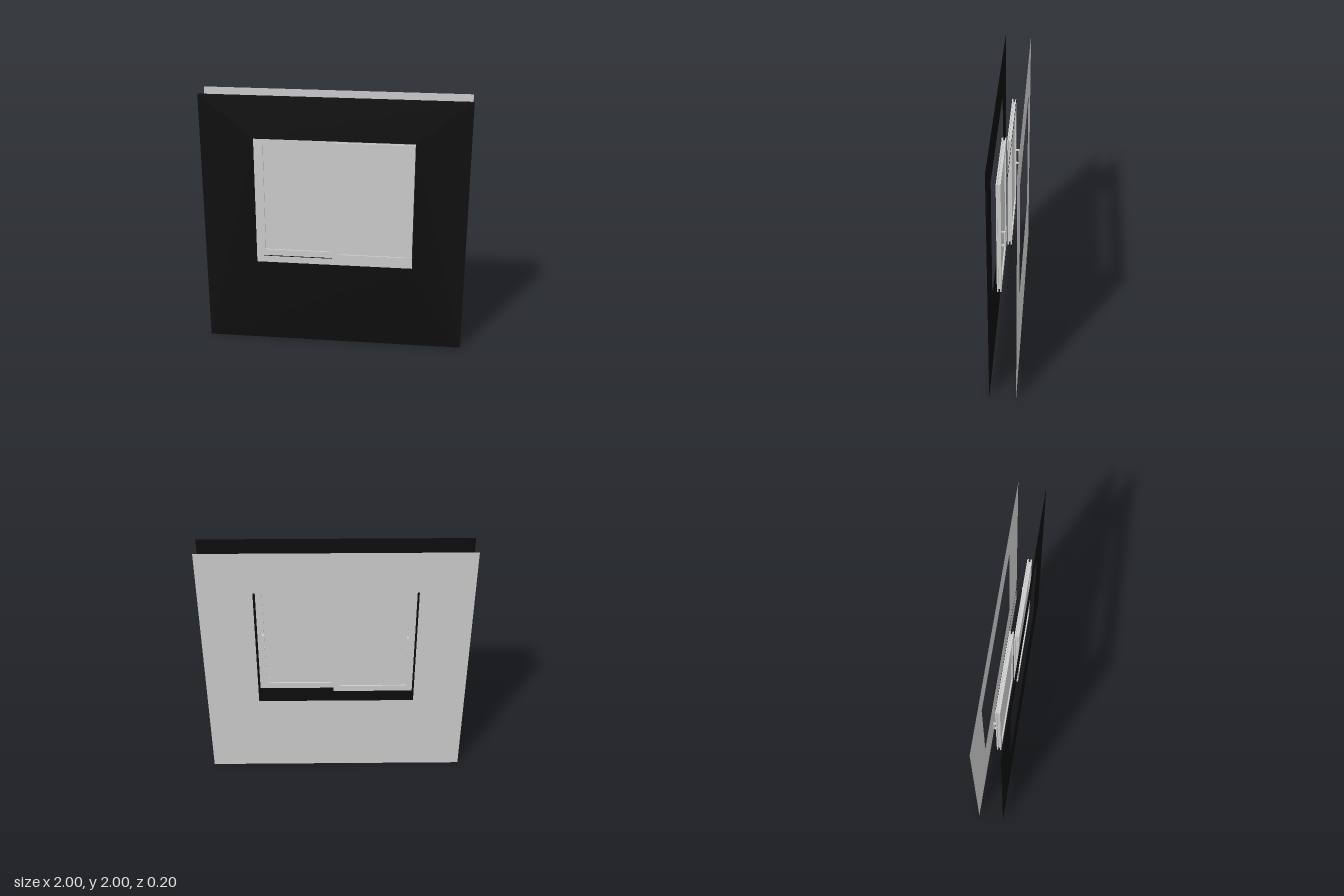
import * as THREE from 'three';

const grey = new THREE.MeshStandardMaterial({ color: 0xcccccc });
grey.name = 'light grey';
const greySheet = new THREE.MeshStandardMaterial({ color: 0xcccccc, side: THREE.DoubleSide });
greySheet.name = 'light grey sheet';
const blackSheet = new THREE.MeshStandardMaterial({ color: 0x0d0d0d, side: THREE.DoubleSide });
blackSheet.name = 'black sheet';

// Rectangle outline as a list of corners
function corners(x0, x1, y0, y1) {
  return [[x0, y0], [x1, y0], [x1, y1], [x0, y1]].map(([x, y]) => new THREE.Vector2(x, y));
}

// Rectangular shape with a rectangular opening
function ringShape(outer, inner) {
  const shape = new THREE.Shape(corners(...outer));
  shape.holes.push(new THREE.Path(corners(...inner).reverse()));
  return shape;
}

function add(parent, name, geometry, material, x = 0, y = 0, z = 0) {
  const mesh = new THREE.Mesh(geometry, material);
  mesh.name = name;
  mesh.position.set(x, y, z);
  parent.add(mesh);
  return mesh;
}

// Solid rectangular ring, its back at z
function addRing(parent, name, outer, inner, depth, z) {
  const geometry = new THREE.ExtrudeGeometry(ringShape(outer, inner), { depth, bevelEnabled: false });
  return add(parent, name, geometry, grey, 0, 0, z);
}

const W = 0.615, H = 0.954, DEPTH = 0.034, STILE = 0.05;

// Sliding sash centred on its own origin, back at z = 0
function makeSash(name, handleX) {
  const sash = new THREE.Group();
  sash.name = name;
  const x = W / 2, y = H / 2, groove = 0.016, flange = 0.011;
  const outer = [-x, x, -y, y];
  const inner = [-x + STILE, x - STILE, -y + STILE, y - STILE];
  const web = [-x + groove, x - groove, -y + groove, y - groove];

  // Two flanges with a set-back web leave a groove around the edge
  addRing(sash, 'backFlange', outer, inner, flange, 0);
  addRing(sash, 'frameWeb', web, inner, DEPTH - 2 * flange, flange);
  addRing(sash, 'frontFlange', outer, inner, flange, DEPTH - flange);
  add(sash, 'pane', new THREE.BoxGeometry(W - 2 * STILE, H - 2 * STILE, 0.012), grey, 0, 0, DEPTH / 2);

  // Pull handle on the back
  const handle = new THREE.Group();
  handle.name = 'handle';
  handle.position.set(handleX, -0.015, 0);
  add(handle, 'handleGrip', new THREE.BoxGeometry(0.015, 0.13, 0.008), grey, 0, 0, -0.023);
  for (const side of [-1, 1]) {
    add(handle, 'handlePost', new THREE.BoxGeometry(0.015, 0.01, 0.02), grey, 0, side * 0.06, -0.01);
  }
  sash.add(handle);
  return sash;
}

export function createModel() {
  const model = new THREE.Group();
  model.name = 'slidingWindow';

  // Wall sheets with a shared opening
  const wall = new THREE.ShapeGeometry(ringShape([-1, 1, 0, 2], [-0.6, 0.6, 0.67, 1.67]));
  add(model, 'outerWall', wall, blackSheet, 0, 0, 0.1);
  add(model, 'innerWall', wall, greySheet, 0, 0, -0.1);

  // Overlapping sashes on two tracks
  const centreY = 1.169;
  const rightSash = makeSash('rightSash', -0.253);
  rightSash.position.set(-0.288, centreY, -0.009);
  const leftSash = makeSash('leftSash', 0.263);
  leftSash.position.set(0.288, centreY, 0.033);
  model.add(rightSash, leftSash);

  // Thin guide strips above and below the sashes
  for (const side of [-1, 1]) {
    add(model, side > 0 ? 'topGuide' : 'bottomGuide', new THREE.PlaneGeometry(1.14, 0.024),
      blackSheet, 0, 1.17 + side * 0.488, -0.009);
  }
  return model;
}
